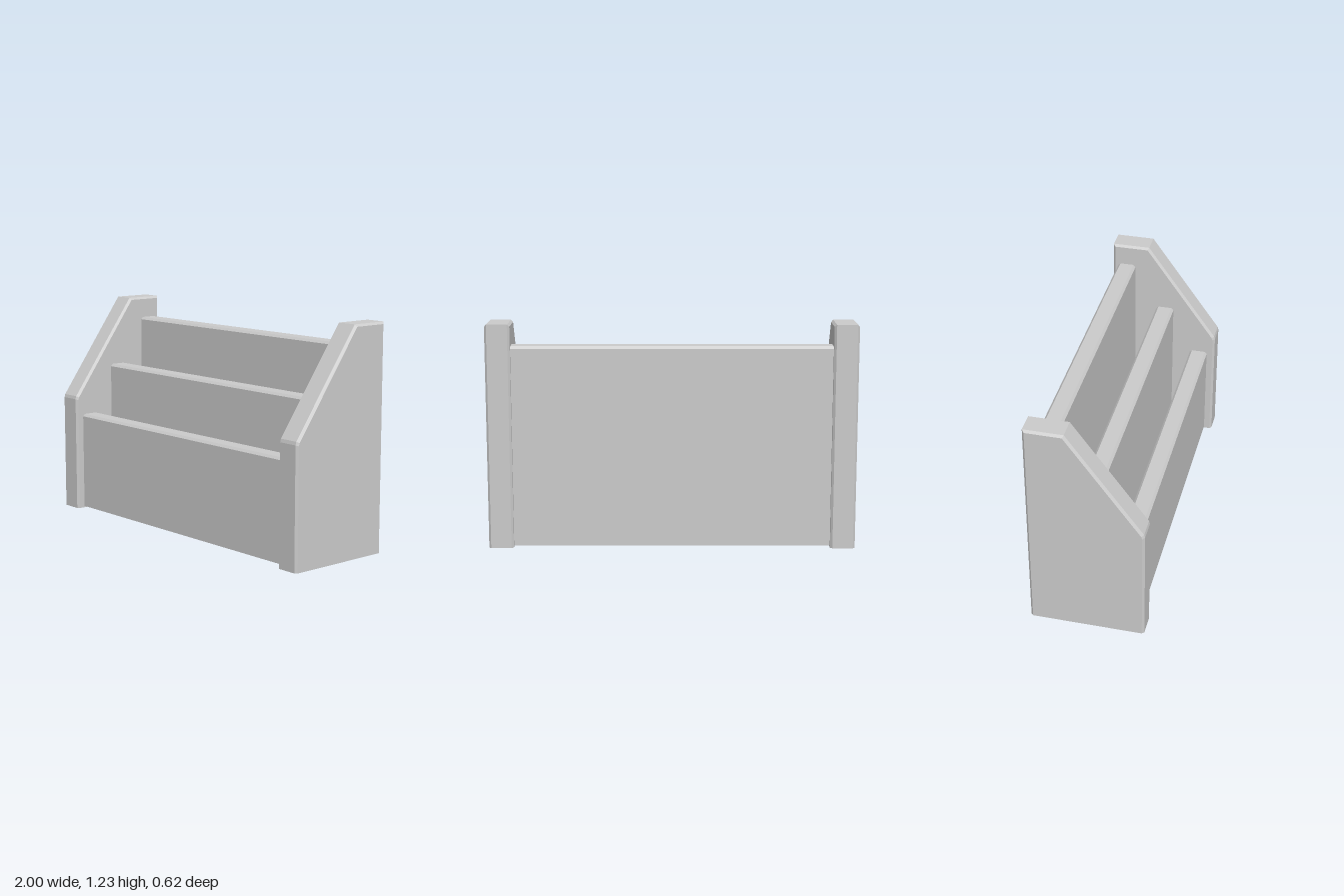
import * as THREE from 'three';

const material = new THREE.MeshStandardMaterial({
  color: 0xcccccc, side: THREE.DoubleSide, flatShading: true,
});

// Lofts [z, y] profiles (open at the bottom) placed at increasing x.
function loft(rings, capped) {
  const pos = [];
  const tri = (...pts) => pts.forEach(([x, [z, y]]) => pos.push(x, y, z));
  for (let r = 0; r < rings.length - 1; r++) {
    const [x0, a] = rings[r], [x1, b] = rings[r + 1];
    for (let i = 0; i < a.length - 1; i++) {
      tri([x0, a[i]], [x1, b[i]], [x1, b[i + 1]]);
      tri([x0, a[i]], [x1, b[i + 1]], [x0, a[i + 1]]);
    }
  }
  if (capped) {
    const [x0, a] = rings[0], [x1, b] = rings[rings.length - 1];
    for (let i = 1; i < a.length - 1; i++) {
      tri([x0, a[0]], [x0, a[i]], [x0, a[i + 1]]);
      tri([x1, b[0]], [x1, b[i + 1]], [x1, b[i]]);
    }
  }
  const geometry = new THREE.BufferGeometry();
  geometry.setAttribute('position', new THREE.Float32BufferAttribute(pos, 3));
  geometry.computeVertexNormals();
  return geometry;
}

function addMesh(group, name, geometry) {
  const mesh = new THREE.Mesh(geometry, material);
  mesh.name = name;
  group.add(mesh);
}

export function createModel() {
  const group = new THREE.Group();
  group.name = 'tieredRack';

  // End walls: sloped slabs with bevelled edges, hollow underneath
  const outline = [[0.31, 0], [0.31, 0.657], [0.305, 0.675], [-0.098, 1.23], [-0.31, 1.23], [-0.31, 0]];
  const inset = [[0.298, 0], [0.298, 0.653], [0.293, 0.668], [-0.105, 1.218], [-0.298, 1.218], [-0.298, 0]];
  for (const [name, inner, outer] of [['leftEnd', 0.865, 1], ['rightEnd', -1, -0.865]]) {
    addMesh(group, name, loft([
      [inner, inset], [inner + 0.012, outline], [outer - 0.012, outline], [outer, inset],
    ], true));
  }

  // Three upright panels, stepping up to the back; their ends run inside the end walls
  const bevel = 0.013, bottom = 0.008;
  const panels = [['frontPanel', 0.265, 0.565], ['middlePanel', 0.055, 0.845], ['backPanel', -0.177, 1.11]];
  for (const [name, front, top] of panels) {
    const back = front - 0.104;
    const profile = [
      [front, bottom], [front, top - bevel], [front - bevel, top],
      [back + bevel, top], [back, top - bevel], [back, bottom],
    ];
    addMesh(group, name, loft([[-0.955, profile], [0.955, profile]], false));
  }
  return group;
}
